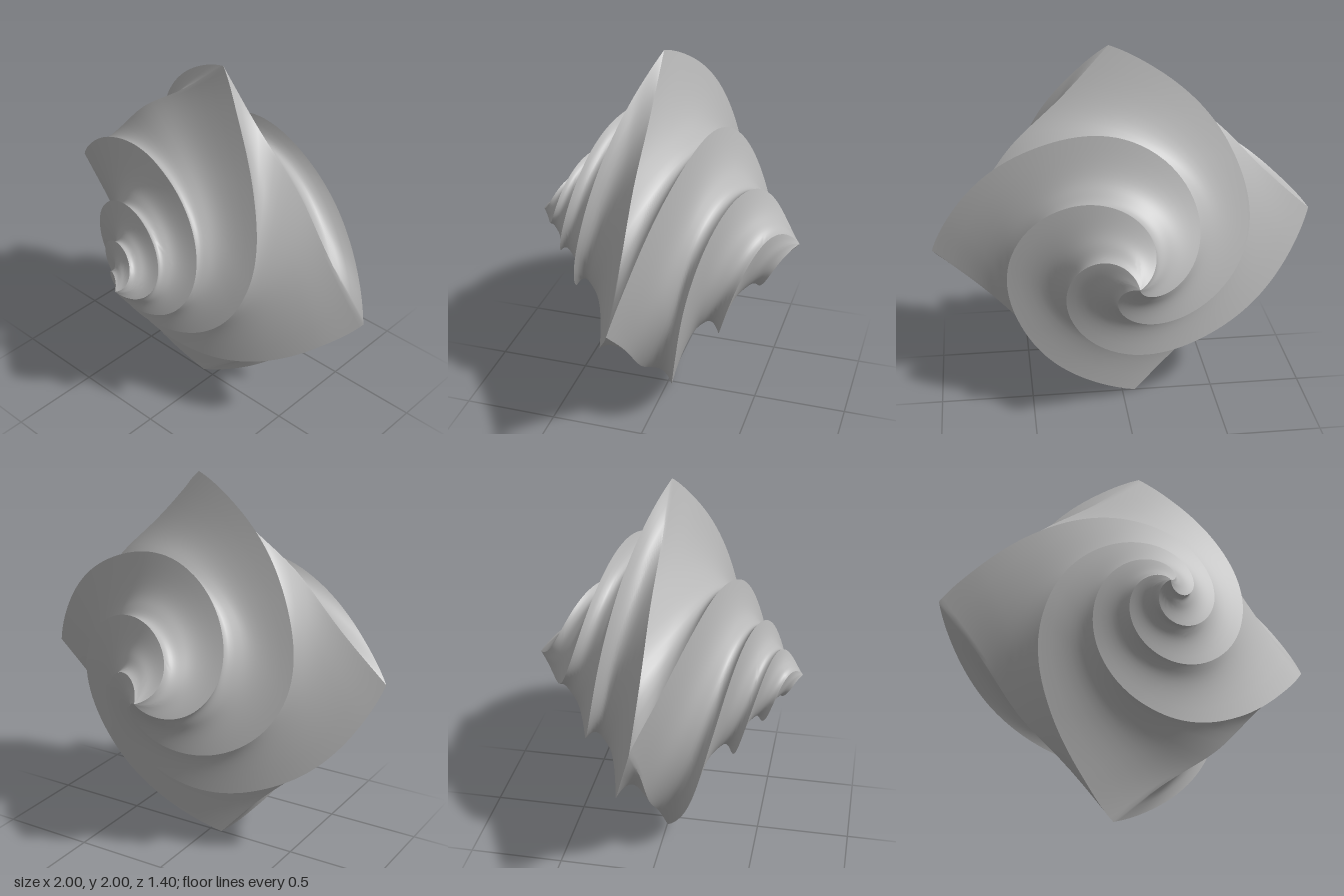
import * as THREE from 'three';
import { toCreasedNormals } from 'three/addons/utils/BufferGeometryUtils.js';

const GROOVE = 0.75;      // groove radius relative to the ridges
const ARMS = 4;
const STEPS = 16;         // points per arm around a section
const RINGS = 90;         // sections in each half

// Ridge path of each half: depth, ridge radius, twist in degrees
const curve = (points) => new THREE.CatmullRomCurve3(points.map((p) => new THREE.Vector3(...p)));
const frontPath = curve([
  [0, 1, 0], [0.1, 0.85, 14], [0.2, 0.7, 36], [0.31, 0.545, 75], [0.36, 0.475, 98],
  [0.42, 0.388, 132], [0.5, 0.285, 182], [0.6, 0.145, 262], [0.7, 0.002, 340],
]);
const backPath = curve([
  [0, 1, 0], [0.07, 0.9, 15], [0.14, 0.8, 34], [0.2, 0.71, 55], [0.28, 0.605, 92],
  [0.39, 0.44, 138], [0.5, 0.285, 183], [0.6, 0.14, 225], [0.7, 0.002, 262],
]);

// Radius factor around a section: sharp ridges with round shallow grooves
function lobe(t) {
  const ridge = Math.abs(1 - 2 * t);            // 1 on a ridge, 0 in the groove
  return GROOVE + (1 - GROOVE) * ridge ** 3;
}

export function createModel() {
  const group = new THREE.Group();
  const stone = new THREE.MeshStandardMaterial({ color: 0xb8b8b8 });
  stone.name = 'plain grey';

  // Twisted four-ridged double pyramid lofted from back apex to front apex
  const n = ARMS * STEPS;
  const positions = [];
  const index = [];
  for (let i = -RINGS; i <= RINGS; i++) {
    const side = i < 0 ? -1 : 1;
    const p = (side > 0 ? frontPath : backPath).getPoint(Math.abs(i) / RINGS);
    const start = THREE.MathUtils.degToRad(86 - side * p.z);
    for (let j = 0; j < n; j++) {
      const angle = start + (j / n) * Math.PI * 2;
      const r = p.y * lobe((j % STEPS) / STEPS);
      positions.push(r * Math.cos(angle), 1 + r * Math.sin(angle), side * p.x);
    }
  }
  for (let i = 0; i < 2 * RINGS; i++) {
    for (let j = 0; j < n; j++) {
      const k = (j + 1) % n;
      const a = i * n + j, b = i * n + k, c = a + n, d = b + n;
      index.push(a, b, d, a, d, c);
    }
  }

  // Close the tiny apex openings
  const last = 2 * RINGS * n;
  for (let j = 1; j < n - 1; j++) {
    index.push(0, j + 1, j, last, last + j, last + j + 1);
  }

  const geometry = new THREE.BufferGeometry();
  geometry.setAttribute('position', new THREE.Float32BufferAttribute(positions, 3));
  geometry.setIndex(index);
  const body = new THREE.Mesh(toCreasedNormals(geometry, 0.6), stone);
  body.name = 'spiralBody';
  group.add(body);
  return group;
}
